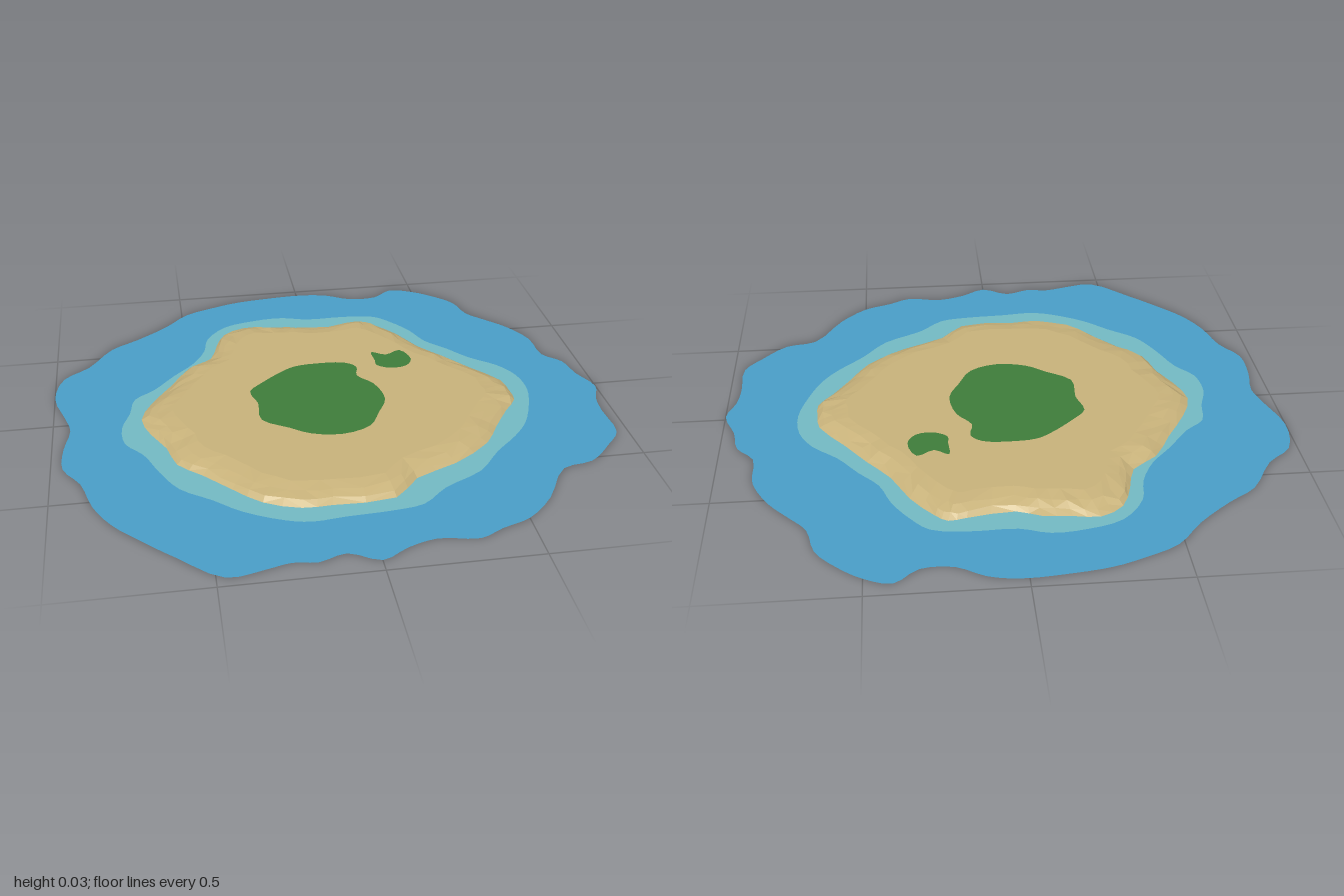
import * as THREE from 'three';

// Outlines as x, z pairs in hundredths of a unit, running anticlockwise seen from above
const SEA = [100,2, 96,-9, 94,-19, 88,-26, 87,-40, 81,-52, 74,-60, 68,-67, 65,-78, 58,-86, 50,-92, 41,-95,
  33,-89, 22,-89, 13,-94, 3,-96, -13,-95, -26,-93, -35,-90, -48,-84, -57,-74, -69,-64, -79,-57, -88,-43,
  -97,-35, -100,-20, -96,-5, -94,4, -96,16, -96,29, -90,39, -86,53, -80,64, -72,73, -61,84, -47,96,
  -35,94, -27,92, -19,93, -10,90, 0,95, 9,90, 19,87, 32,89, 40,85, 50,81, 60,71, 70,55, 81,52, 90,43,
  96,35, 96,20, 97,11];
const LAGOON = [74,0, 73,-11, 68,-20, 59,-28, 52,-37, 45,-45, 41,-55, 35,-64, 29,-70, 17,-72, 1,-72, -9,-75,
  -21,-74, -33,-70, -41,-60, -43,-50, -48,-40, -56,-31, -64,-21, -71,-15, -73,-5, -76,5, -75,16, -69,24,
  -64,36, -58,47, -48,55, -39,63, -26,70, -18,72, -7,71, 9,70, 19,68, 28,60, 42,52, 51,41, 60,32,
  66,24, 71,12];
const BEACH = [67,0, 66,-8, 57,-20, 49,-31, 41,-41, 35,-53, 27,-63, 23,-66, 17,-65, 1,-63, -7,-66, -17,-67,
  -26,-68, -34,-63, -38,-53, -41,-43, -50,-36, -57,-24, -65,-11, -69,0, -66,11, -61,21, -58,32, -50,40,
  -41,50, -32,59, -20,64, -10,64, 11,63, 20,53, 35,46, 49,35, 55,25, 62,14, 67,7];
const MEADOW = [-2,-27, 9,-26, 13,-22, 12,-15, 17,-8, 19,4, 15,13, 10,22, 0,26, -11,24, -18,19, -27,12,
  -27,0, -29,-9, -24,-15, -15,-23, -10,-26];
const THICKET = [21,-33, 26,-30, 32,-33, 35,-25, 32,-20, 26,-19, 21,-22, 21,-26];

const TOP = 0.03;

// Smooth closed outline as Vector2 (x, -z)
function outline(data, perPoint = 3) {
  const pts = [];
  for (let i = 0; i < data.length; i += 2) pts.push(new THREE.Vector3(data[i] / 100, -data[i + 1] / 100, 0));
  const curve = new THREE.CatmullRomCurve3(pts, true, 'centripetal');
  return curve.getPoints(pts.length * perPoint).slice(0, -1).map(p => new THREE.Vector2(p.x, p.y));
}

// Flat horizontal sheet with optional holes
function sheet(name, points, holes, y, material) {
  const shape = new THREE.Shape(points);
  holes.forEach(h => shape.holes.push(new THREE.Path(h)));
  const geometry = new THREE.ShapeGeometry(shape).rotateX(-Math.PI / 2).translate(0, y, 0);
  const mesh = new THREE.Mesh(geometry, material);
  mesh.name = name;
  return mesh;
}

function seededRandom(seed) {
  return () => {
    seed = (seed * 16807) % 2147483647;
    return seed / 2147483647;
  };
}

export function createModel() {
  const mat = (name, color, flatShading = false) => {
    const m = new THREE.MeshStandardMaterial({ color, flatShading, side: THREE.DoubleSide });
    m.name = name;
    return m;
  };
  const deep = mat('deepWater', 0x4a9fc8);
  const shallow = mat('shallowWater', 0x74bac4);
  const sand = mat('sand', 0xc9b37b, true);
  const grass = mat('grass', 0x3f7d3b);

  const group = new THREE.Group();
  group.name = 'island';
  const random = seededRandom(17);

  // Water: deep ring, then shallow ring whose ragged inner edge hides under the beach
  const lagoon = outline(LAGOON);
  const shore = outline(BEACH, 2);
  const ragged = shore.map((p, i) => p.clone().multiplyScalar(i % 2 ? 0.97 - random() * 0.03 : 0.91 - random() * 0.04));
  group.add(sheet('deepSea', outline(SEA), [lagoon], 0, deep));
  group.add(sheet('lagoon', lagoon, [ragged], 0, shallow));

  // Sloping bank: uneven facets from the shoreline up to the plateau
  const steps = [[1, 0, 0, 0], [0.965, 0.013, 0.022, 0.004], [0.91, 0.024, 0.025, 0.003], [0.835, TOP, 0.015, 0]];
  const rings = steps.map(([scale, y, wobble, bump]) => shore.map(p => {
    const s = scale + (random() - 0.5) * wobble;
    return new THREE.Vector3(p.x * s, y + (random() - 0.5) * 2 * bump, -p.y * s);
  }));
  const corners = [];
  for (let r = 0; r < rings.length - 1; r++) {
    for (let i = 0; i < shore.length; i++) {
      const j = (i + 1) % shore.length;
      const [a, b, c, d] = [rings[r][i], rings[r][j], rings[r + 1][j], rings[r + 1][i]];
      if (random() < 0.5) corners.push(a, b, c, a, c, d);
      else corners.push(a, b, d, b, c, d);
    }
  }
  const bankGeometry = new THREE.BufferGeometry().setFromPoints(corners);
  bankGeometry.computeVertexNormals();
  const bank = new THREE.Mesh(bankGeometry, sand);
  bank.name = 'beachBank';
  group.add(bank);

  // Plateau with the grass areas set into it
  const meadow = outline(MEADOW);
  const thicket = outline(THICKET);
  const rim = rings[rings.length - 1].map(v => new THREE.Vector2(v.x, -v.z));
  group.add(sheet('sandPlateau', rim, [meadow, thicket], TOP, sand));
  group.add(sheet('meadow', meadow, [], TOP, grass));
  group.add(sheet('smallThicket', thicket, [], TOP, grass));

  return group;
}
